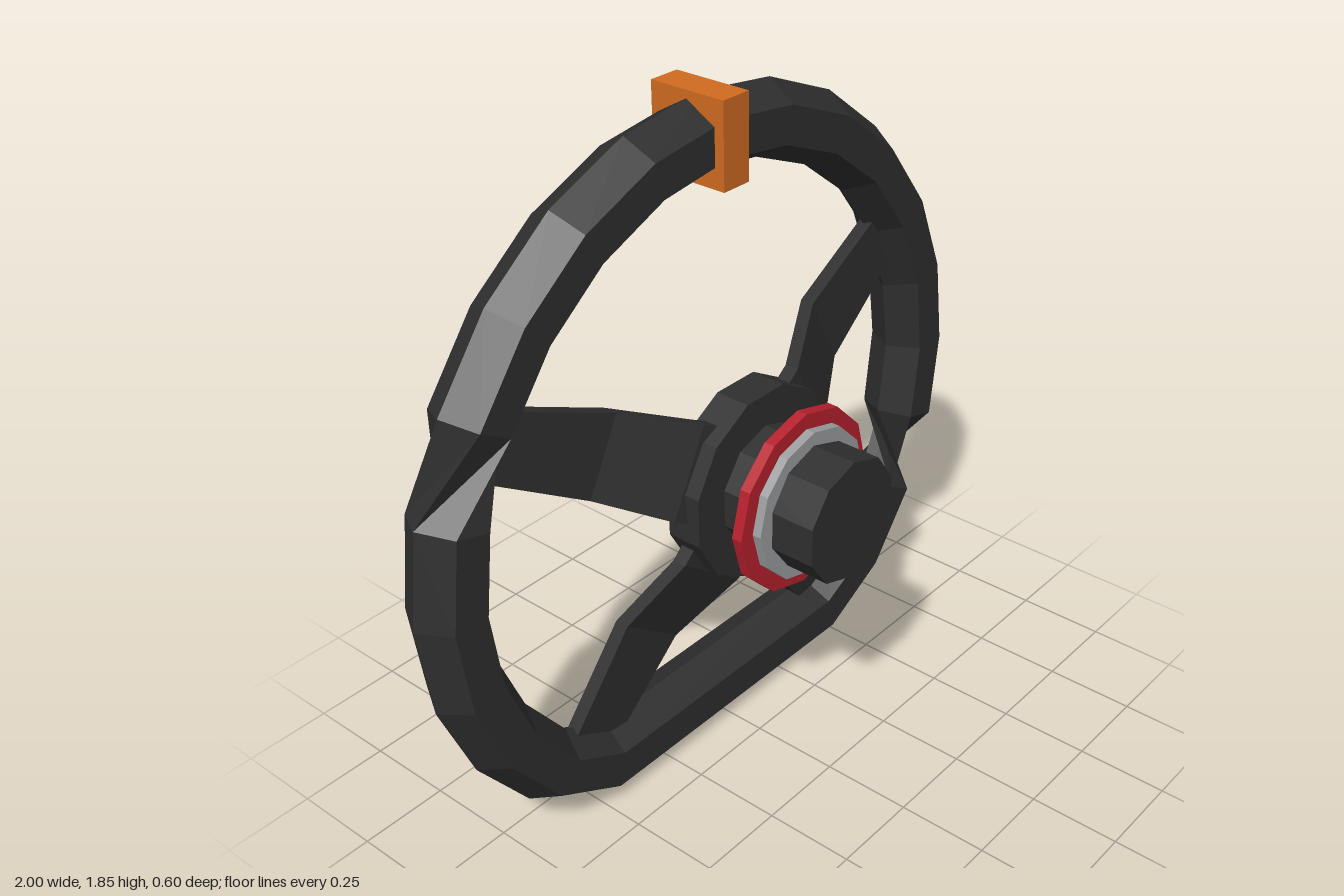
import * as THREE from 'three';

const mat = (name, color, side = THREE.FrontSide) => {
  const m = new THREE.MeshStandardMaterial({ color, side, flatShading: true });
  m.name = name;
  return m;
};

// Skins a list of equal-sized cross-sections; shift(i) turns the joint after ring i
function loft(rings, closed, shift = () => 0) {
  const pos = [], n = rings[0].length;
  const last = closed ? rings.length : rings.length - 1;
  for (let i = 0; i < last; i++) {
    const a = rings[i], b = rings[(i + 1) % rings.length], s = shift(i) + n;
    for (let j = 0; j < n; j++) {
      const a0 = a[j], a1 = a[(j + 1) % n], b0 = b[(j + s) % n], b1 = b[(j + 1 + s) % n];
      for (const p of [a0, b0, b1, a0, b1, a1]) pos.push(...p);
    }
  }
  const g = new THREE.BufferGeometry();
  g.setAttribute('position', new THREE.Float32BufferAttribute(pos, 3));
  g.computeVertexNormals();
  return g;
}

export function createModel() {
  const model = new THREE.Group();
  model.name = 'steeringWheel';
  const dark = mat('darkRubber', 0x2f2f2f, THREE.DoubleSide);
  const red = mat('red', 0xb8202e);
  const grey = mat('grey', 0x9c9ea0);
  const orange = mat('orange', 0xd06a20);
  const CY = 0.84;

  const add = (name, geo, material, parent = model) => {
    const m = new THREE.Mesh(geo, material);
    m.name = name;
    parent.add(m);
    return m;
  };

  // Rim: hexagonal section around a flat-bottomed circle, with two twisted joints
  const stations = [];
  for (let d = -45; d <= 225; d += 15) {
    const t = THREE.MathUtils.degToRad(d), c = Math.cos(t), s = Math.sin(t);
    stations.push([0.9 * c, CY + 0.9 * s, c, s]);
  }
  stations.push([-0.45, 0.105, -0.24, -1], [0.45, 0.105, 0.24, -1]);
  const rings = stations.map(([x, y, dx, dy]) => Array.from({ length: 6 }, (_, k) => {
    const a = k * Math.PI / 3, u = 0.1 * Math.cos(a);
    return [x + dx * u, y + dy * u, -0.185 + 0.1 * Math.sin(a)];
  }));
  const twist = { 1: 2, 13: -2 }; // joints at -30..-15 and 150..165 degrees
  add('rim', loft(rings, true, (i) => twist[i] || 0), dark);

  // Top centre marker
  add('topMarker', new THREE.BoxGeometry(0.09, 0.226, 0.225), orange).position.set(0, 1.742, -0.183);

  // Four tapering spokes, sloping back from the hub and then flattening: [r, half width, front z]
  const profile = [[0.2, 0.13, -0.015], [0.27, 0.128, -0.025], [0.48, 0.112, -0.13], [0.84, 0.085, -0.165]];
  const spokeGeo = loft(profile.map(([r, w, z]) =>
    [[r, w, z], [r, w, z - 0.04], [r, -w, z - 0.04], [r, -w, z]].reverse()), false);
  const boltGeo = new THREE.CylinderGeometry(0.03, 0.03, 0.03, 6).rotateX(Math.PI / 2);
  for (const deg of [27, 153, -53.5, -126.5]) {
    const spoke = new THREE.Group();
    spoke.name = 'spoke';
    spoke.position.y = CY;
    spoke.rotation.z = THREE.MathUtils.degToRad(deg);
    add('spokeArm', spokeGeo, dark, spoke);
    for (const [r, z] of [[0.5, -0.175], [0.67, -0.192]]) {
      add('spokeBolt', boltGeo, dark, spoke).position.set(r, 0, z);
    }
    model.add(spoke);
  }

  // Hub stack along z: front and back radius, z range, sides, turn
  const disc = (name, material, rFront, rBack, z0, z1, sides, turn = 0) => {
    const g = new THREE.CylinderGeometry(rFront, rBack, z1 - z0, sides)
      .rotateX(Math.PI / 2).rotateZ(turn);
    add(name, g, material).position.set(0, CY, (z0 + z1) / 2);
  };
  disc('hubPlate', dark, 0.268, 0.268, -0.08, 0.02, 12, Math.PI / 12);
  disc('hubShaft', dark, 0.17, 0.17, 0, 0.3, 10);
  disc('greyCollar', grey, 0.207, 0.207, 0.095, 0.175, 12);
  disc('redRing', red, 0.25, 0.25, 0.12, 0.15, 12);
  disc('backCapBase', red, 0.225, 0.225, -0.1, -0.07, 12, Math.PI / 12);
  disc('backCap', red, 0.225, 0.2, -0.12, -0.1, 12, Math.PI / 12);

  return model;
}
